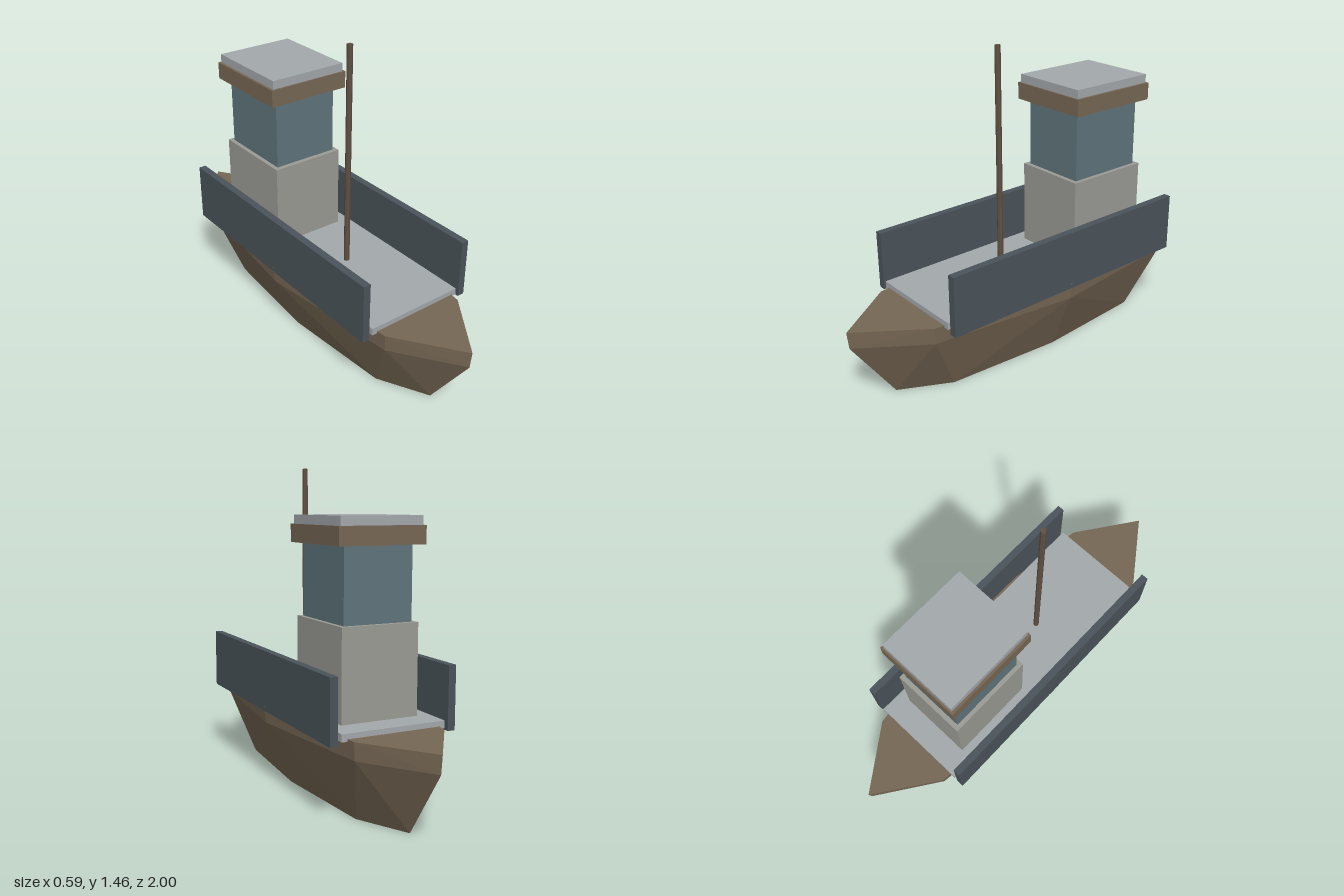
import * as THREE from 'three';

const mat = (color) => new THREE.MeshStandardMaterial({ color, flatShading: true });

// Low-poly double-ended hull: stacked eight-point outlines joined into faces
function hullGeometry() {
  // [height, tip z, shoulder x, shoulder z, midship x]
  const levels = [
    [0, 0.785, 0.12, 0.555, 0.163],
    [0.3, 0.992, 0.205, 0.7, 0.288],
    [0.38, 1, 0.211, 0.705, 0.295],
  ];
  const pos = [];
  for (const [y, tip, sx, sz, mx] of levels) {
    const ring = [[0, tip], [sx, sz], [mx, 0], [sx, -sz], [0, -tip], [-sx, -sz], [-mx, 0], [-sx, sz]];
    for (const [x, z] of ring) pos.push(x, y, z);
  }
  const index = [];
  for (let r = 0; r < levels.length - 1; r++) {
    for (let i = 0; i < 8; i++) {
      const j = (i + 1) % 8;
      const a = r * 8 + i, b = r * 8 + j, c = b + 8, d = a + 8;
      // diagonals rise from the ends towards midships
      if (i & 2) index.push(a, b, d, b, c, d);
      else index.push(a, b, c, a, c, d);
    }
  }
  // bottom and top caps
  const top = (levels.length - 1) * 8;
  for (let i = 1; i < 7; i++) {
    index.push(0, i + 1, i);
    index.push(top, top + i, top + i + 1);
  }
  const indexed = new THREE.BufferGeometry();
  indexed.setAttribute('position', new THREE.Float32BufferAttribute(pos, 3));
  indexed.setIndex(index);
  const geo = indexed.toNonIndexed();
  geo.computeVertexNormals();
  return geo;
}

export function createModel() {
  const group = new THREE.Group();
  const wood = mat(0x766754);
  const slate = mat(0x4a545a);
  const grey = mat(0xa3a8ac);
  const wall = mat(0x9a9b94);
  const glass = mat(0x5f757c);
  const mastWood = mat(0x5f4f42);

  const add = (name, geometry, material) => {
    const mesh = new THREE.Mesh(geometry, material);
    mesh.name = name;
    group.add(mesh);
    return mesh;
  };
  // Box given by its extents on each axis
  const box = (name, material, [x0, x1], [y0, y1], [z0, z1]) => {
    const mesh = add(name, new THREE.BoxGeometry(x1 - x0, y1 - y0, z1 - z0), material);
    mesh.position.set((x0 + x1) / 2, (y0 + y1) / 2, (z0 + z1) / 2);
  };

  add('hull', hullGeometry(), wood);
  box('deck', grey, [-0.242, 0.242], [0.37, 0.403], [-0.66, 0.66]);

  // Side walls
  box('leftBulwark', slate, [0.259, 0.294], [0.355, 0.635], [-0.66, 0.66]);
  box('rightBulwark', slate, [-0.294, -0.259], [0.355, 0.635], [-0.66, 0.66]);

  // Wheelhouse, stacked from the deck up
  box('cabinBase', wall, [-0.181, 0.181], [0.4, 0.806], [-0.542, -0.118]);
  box('cabinWindows', glass, [-0.161, 0.161], [0.8, 1.132], [-0.52, -0.14]);
  box('roofEave', wood, [-0.204, 0.204], [1.13, 1.21], [-0.558, -0.102]);
  box('roofTop', grey, [-0.192, 0.192], [1.208, 1.25], [-0.55, -0.11]);

  // Mast on the foredeck
  const mast = add('mast', new THREE.CylinderGeometry(0.0135, 0.0135, 1.06, 8), mastWood);
  mast.position.set(0, 0.93, 0.182);

  return group;
}
